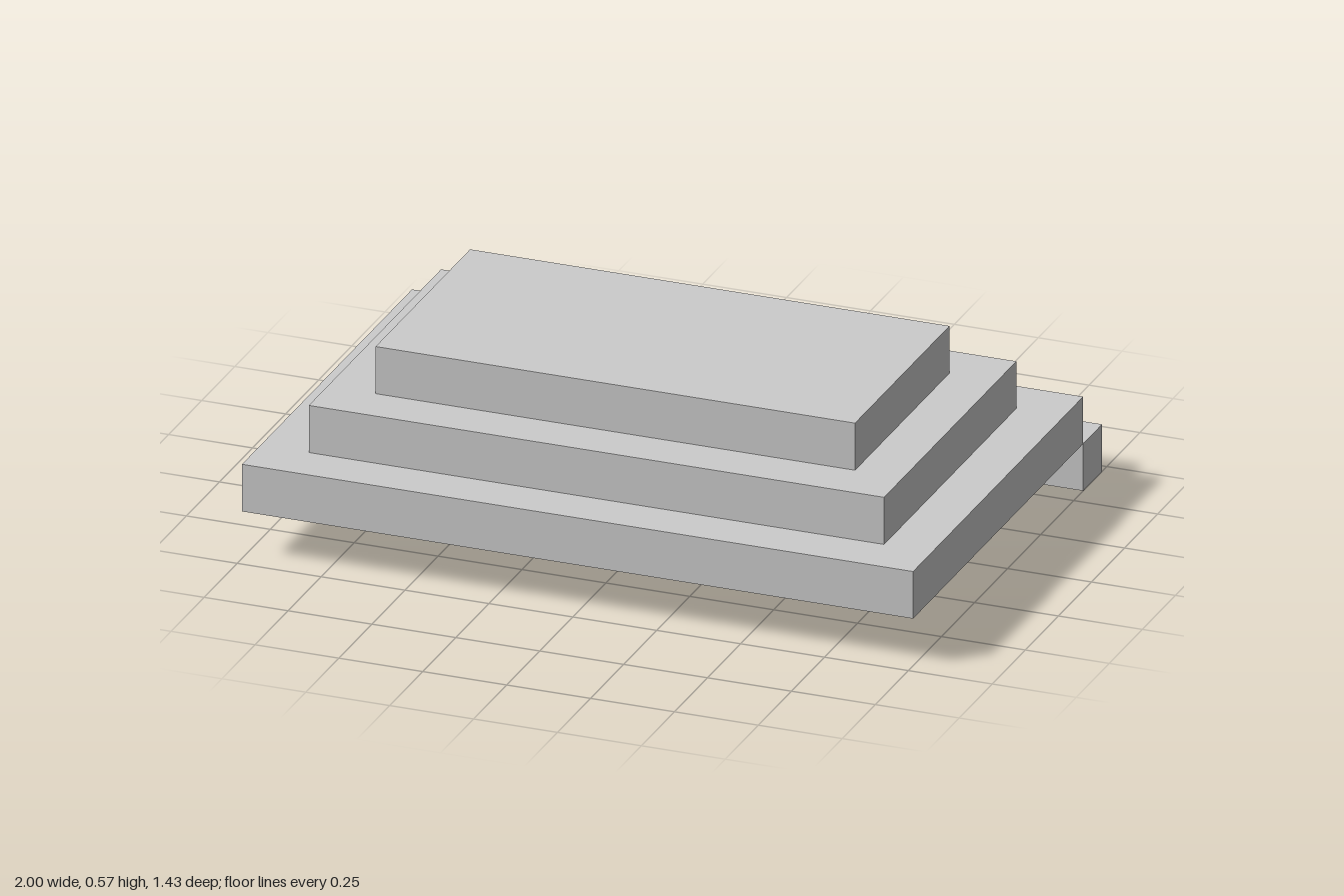
import * as THREE from 'three';

const U = 1 / 7; // module: step height, step depth and beam thickness

const rect = (P, w, d) => {
  const p = new P();
  p.moveTo(-w / 2, -d / 2);
  p.lineTo(w / 2, -d / 2);
  p.lineTo(w / 2, d / 2);
  p.lineTo(-w / 2, d / 2);
  p.closePath();
  return p;
};

// Rectangular frame lying flat, one module wide and one module high
function frameGeometry(w, d) {
  const shape = rect(THREE.Shape, w, d);
  shape.holes.push(rect(THREE.Path, w - 2 * U, d - 2 * U));
  return new THREE.ExtrudeGeometry(shape, { depth: U, bevelEnabled: false })
    .rotateX(-Math.PI / 2)
    .translate(0, -U / 2, 0);
}

export function createModel() {
  const group = new THREE.Group();
  const material = new THREE.MeshStandardMaterial({ color: 0xcccccc, flatShading: true });
  const add = (name, geometry, y, z) => {
    const mesh = new THREE.Mesh(geometry, material);
    mesh.name = name;
    mesh.position.set(0, y * U, z * U);
    group.add(mesh);
  };

  // Lowest step: a single beam along the back
  add('backStep', new THREE.BoxGeometry(14 * U, U, U), 0.5, -4.5);

  // Two hollow frames, each opening matching the tier above
  add('lowerFrame', frameGeometry(14 * U, 9 * U), 1.5, 0.5);
  add('middleFrame', frameGeometry(12 * U, 7 * U), 2.5, 0.5);

  // Solid slab closing the top
  add('topSlab', new THREE.BoxGeometry(10 * U, U, 5 * U), 3.5, 0.5);

  return group;
}
